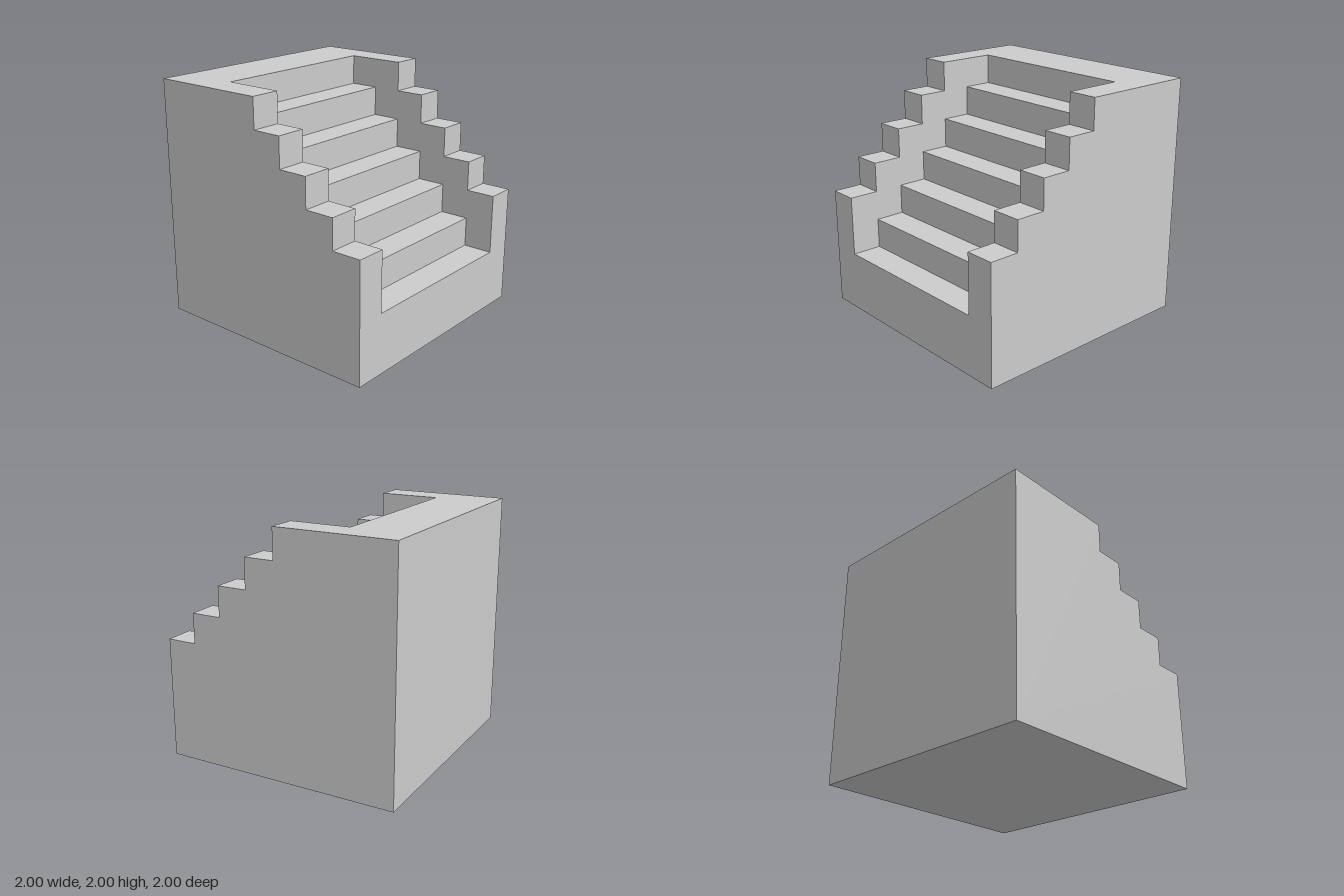
import * as THREE from 'three';
import { mergeGeometries } from 'three/addons/utils/BufferGeometryUtils.js';

const STEP = 0.25, INNER = 0.75;
const material = new THREE.MeshStandardMaterial({ color: 0xcccccc, flatShading: true });

function addMesh(group, name, geometry) {
  const mesh = new THREE.Mesh(geometry, material);
  mesh.name = name;
  group.add(mesh);
}

// Flat outline facing +z
function panel(points) {
  return new THREE.ShapeGeometry(new THREE.Shape(points.map(([u, v]) => new THREE.Vector2(u, v))));
}

// Outline given as (z, y), stood up at a fixed x and facing +x or -x
function sidePanel(points, x, facing) {
  const geometry = facing < 0
    ? panel(points).rotateY(-Math.PI / 2)
    : panel(points.map(([z, y]) => [-z, y])).rotateY(Math.PI / 2);
  return geometry.translate(x, 0, 0);
}

// Stepped line in (z, y), climbing from the front edge to the back
function stairLine(y0, count) {
  const points = [[1, y0]];
  for (let i = 0; i < count; i++) {
    const z = 1 - STEP * (i + 1);
    points.push([z, y0 + STEP * i], [z, y0 + STEP * (i + 1)]);
  }
  return points;
}

// Treads and risers of one flight
function flight(width, x, y0, count) {
  const faces = [];
  for (let i = 0; i < count; i++) {
    const y = y0 + STEP * i, z = 1 - STEP * i;
    faces.push(
      new THREE.PlaneGeometry(width, STEP).rotateX(-Math.PI / 2).translate(x, y, z - STEP / 2),
      new THREE.PlaneGeometry(width, STEP).translate(x, y + STEP / 2, z - STEP)
    );
  }
  return mergeGeometries(faces);
}

export function createModel() {
  const group = new THREE.Group();
  group.name = 'walledStaircase';

  const wallLine = stairLine(1, 4);
  const innerLine = stairLine(0.5, 6);

  // Sunken flight between the walls
  addMesh(group, 'stairs', flight(2 * INNER, 0, 0.5, 6));

  // Stepped side walls: outer face, inner face and stepped top
  for (const [side, s] of [['left', 1], ['right', -1]]) {
    addMesh(group, side + 'WallOuterFace', sidePanel([[-1, 0], [1, 0], ...wallLine, [-1, 2]], s, s));
    addMesh(group, side + 'WallInnerFace',
      sidePanel([...innerLine, ...[...wallLine].reverse()], s * INNER, -s));
    addMesh(group, side + 'WallSteps', flight(1 - INNER, s * (1 + INNER) / 2, 1, 4));
  }

  // Front face, notched for the flight
  addMesh(group, 'frontFace', panel([
    [-1, 0], [1, 0], [1, 1], [INNER, 1], [INNER, 0.5], [-INNER, 0.5], [-INNER, 1], [-1, 1]
  ]).translate(0, 0, 1));

  // U-shaped landing around the top of the flight
  addMesh(group, 'topLanding', panel([
    [-1, 0], [-INNER, 0], [-INNER, 0.5], [INNER, 0.5], [INNER, 0], [1, 0], [1, 1], [-1, 1]
  ]).rotateX(-Math.PI / 2).translate(0, 2, 0));

  // Plain back and base
  addMesh(group, 'backFace', new THREE.PlaneGeometry(2, 2).rotateY(Math.PI).translate(0, 1, -1));
  addMesh(group, 'base', new THREE.PlaneGeometry(2, 2).rotateX(Math.PI / 2));

  return group;
}
